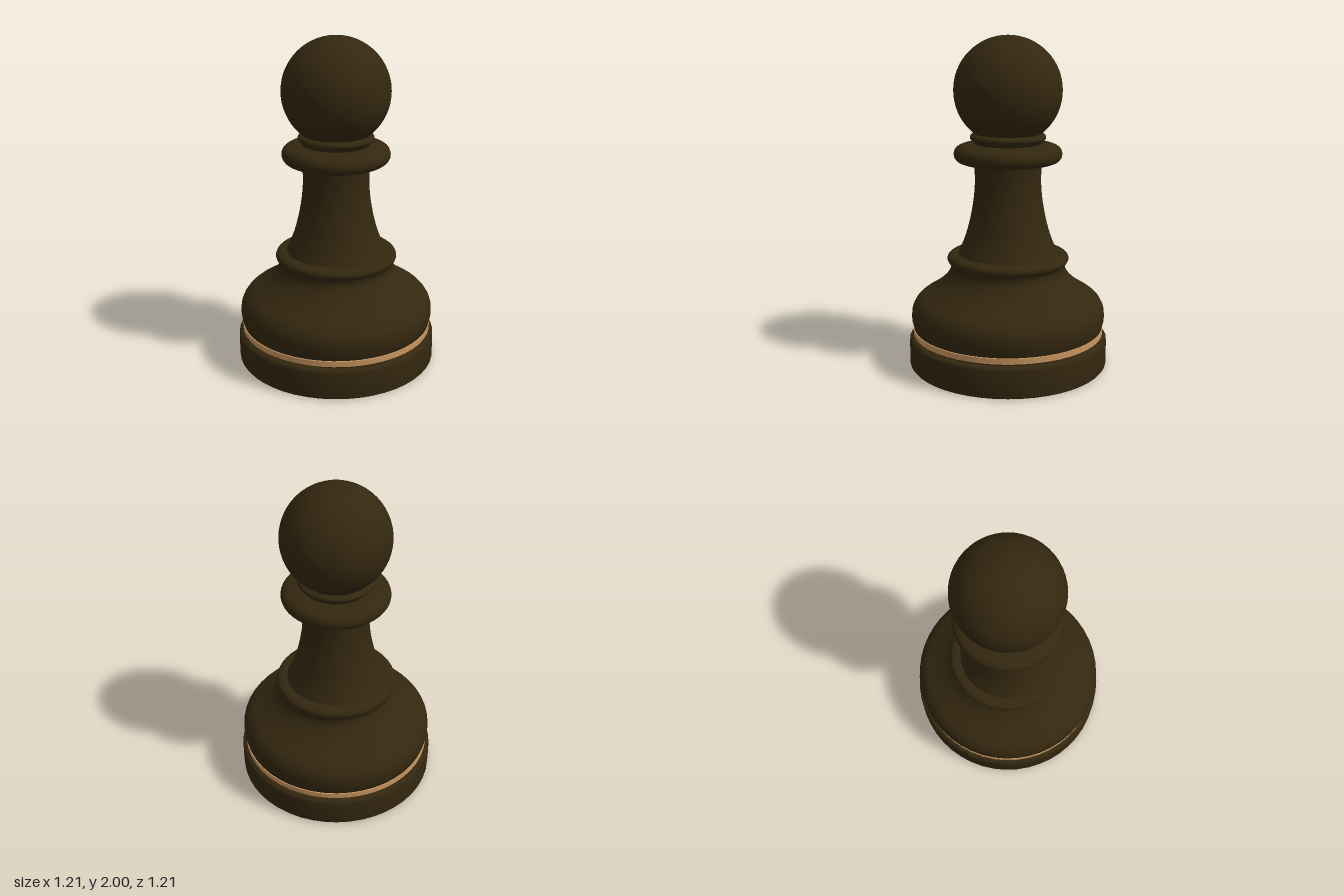
import * as THREE from 'three';

const SEGMENTS = 48;

export function createModel() {
  const group = new THREE.Group();
  const darkWood = new THREE.MeshStandardMaterial({ color: 0x33270f });
  darkWood.name = 'darkWood';
  const paleWood = new THREE.MeshStandardMaterial({ color: 0xc8955f });
  paleWood.name = 'paleWood';

  // Turned part from [radius, height] points, listed bottom to top
  function turn(name, points, material = darkWood) {
    const profile = points.map(([r, y]) => new THREE.Vector2(r, y));
    const mesh = new THREE.Mesh(new THREE.LatheGeometry(profile, SEGMENTS), material);
    mesh.name = name;
    group.add(mesh);
  }

  // Smooth curve through a few profile points
  function smooth(points, divisions) {
    const curve = new THREE.SplineCurve(points.map(([r, y]) => new THREE.Vector2(r, y)));
    return curve.getPoints(divisions).map((p) => [p.x, p.y]);
  }

  // Foot: flat underside, straight wall with small bevels, top face
  turn('footUnderside', [[0, 0], [0.597, 0]]);
  turn('footWall', [[0.597, 0], [0.605, 0.01], [0.606, 0.09], [0.605, 0.165], [0.597, 0.18], [0.58, 0.185]]);
  turn('footTop', [[0.58, 0.185], [0.55, 0.187]]);

  // Groove and inlaid ring
  turn('groove', [[0.565, 0.18], [0.565, 0.245]]);
  turn('inlayUnderside', [[0.56, 0.2], [0.582, 0.2]], paleWood);
  turn('inlayRing', [[0.582, 0.2], [0.582, 0.234]], paleWood);
  turn('inlayTop', [[0.582, 0.234], [0.56, 0.234]], paleWood);

  // Bell-shaped body
  turn('bodyUnderside', [[0.55, 0.236], [0.577, 0.236]]);
  turn('body', smooth([
    [0.577, 0.236], [0.589, 0.29], [0.584, 0.36], [0.545, 0.42], [0.47, 0.47],
    [0.4, 0.525], [0.36, 0.575], [0.348, 0.61], [0.353, 0.635],
  ], 32));

  // Rounded lip at the top of the body
  turn('bodyLip', smooth([
    [0.353, 0.635], [0.367, 0.655], [0.366, 0.675], [0.352, 0.69], [0.325, 0.697], [0.29, 0.698],
  ], 14));

  // Tapering stem
  turn('stem', smooth([
    [0.303, 0.695], [0.262, 0.79], [0.23, 0.9], [0.208, 1.02], [0.199, 1.12], [0.2, 1.2], [0.207, 1.26],
  ], 20));

  // Wide collar
  turn('collar', smooth([
    [0.19, 1.246], [0.25, 1.249], [0.298, 1.26], [0.32, 1.285], [0.322, 1.315],
    [0.305, 1.343], [0.26, 1.36], [0.18, 1.368],
  ], 24));

  // Small ring under the head
  turn('neckRing', smooth([
    [0.2, 1.362], [0.207, 1.376], [0.224, 1.394], [0.226, 1.408], [0.212, 1.422], [0.17, 1.432],
  ], 14));

  // Ball head
  const head = new THREE.Mesh(new THREE.SphereGeometry(0.322, SEGMENTS, 32), darkWood);
  head.name = 'head';
  head.position.y = 1.678;
  group.add(head);

  return group;
}
